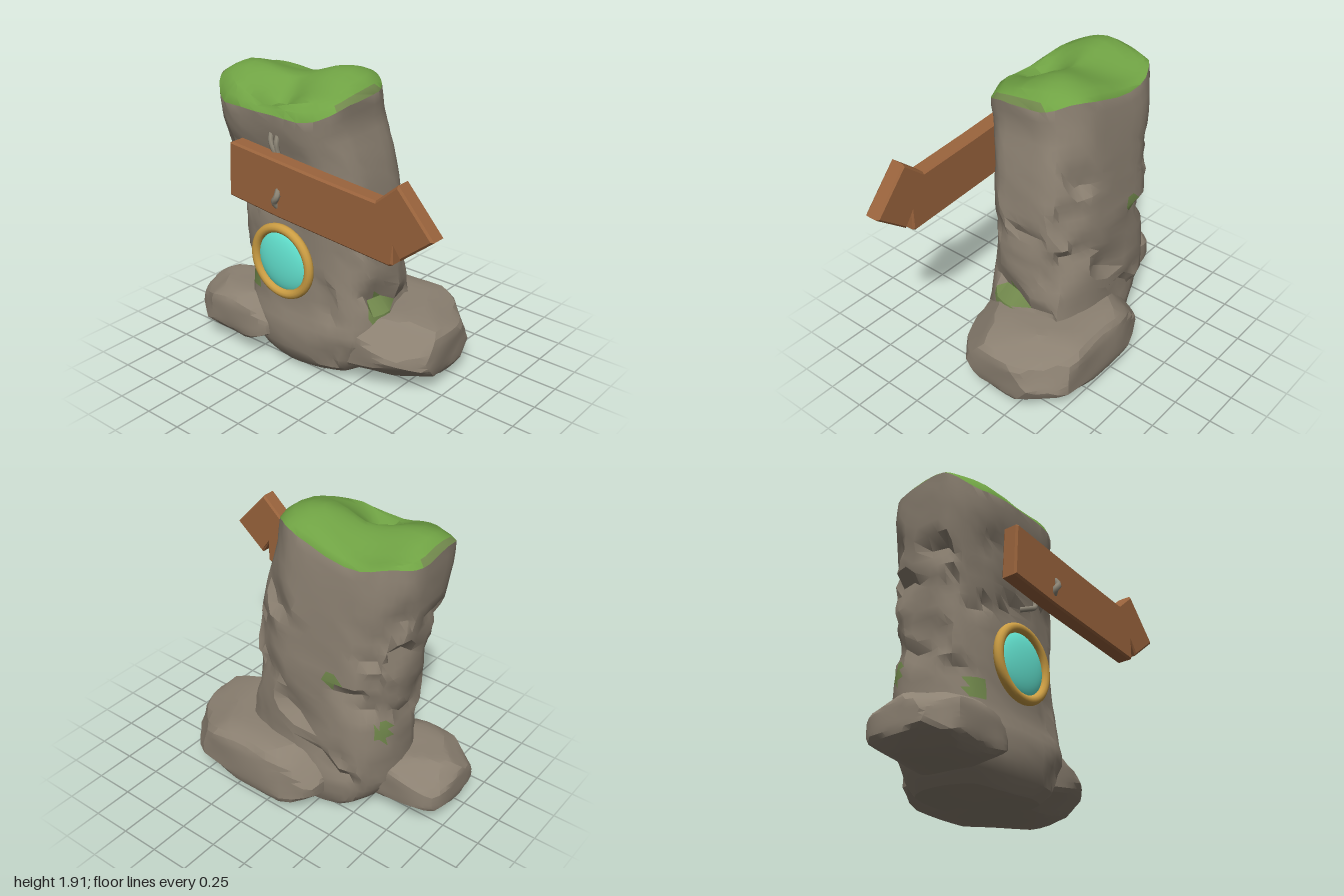
import * as THREE from 'three';
import { toCreasedNormals, mergeVertices } from 'three/addons/utils/BufferGeometryUtils.js';

const mat = (name, color) => {
  const m = new THREE.MeshStandardMaterial({ color });
  m.name = name;
  return m;
};

// small seeded random generator
function seeded(seed) {
  let s = seed;
  return () => {
    s = (s * 16807) % 2147483647;
    return s / 2147483647;
  };
}

function addMesh(parent, name, geometry, material) {
  const mesh = new THREE.Mesh(geometry, material);
  mesh.name = name;
  parent.add(mesh);
  return mesh;
}

// pillar outline: height, left, right, back, front
const LEVELS = [
  [0.03, -0.50, 0.22, -0.32, 0.27],
  [0.12, -0.61, 0.31, -0.36, 0.37],
  [0.30, -0.69, 0.37, -0.385, 0.385],
  [0.42, -0.70, 0.37, -0.375, 0.345],
  [0.60, -0.70, 0.345, -0.37, 0.335],
  [0.80, -0.70, 0.315, -0.365, 0.335],
  [1.00, -0.71, 0.31, -0.37, 0.345],
  [1.20, -0.74, 0.30, -0.345, 0.36],
  [1.40, -0.77, 0.26, -0.335, 0.39],
  [1.60, -0.795, 0.195, -0.315, 0.445],
  [1.74, -0.805, 0.205, -0.285, 0.45],
];

function levelAt(y) {
  let k = 0;
  while (k < LEVELS.length - 2 && LEVELS[k + 1][0] < y) k++;
  const a = LEVELS[k], b = LEVELS[k + 1], t = (y - a[0]) / (b[0] - a[0]);
  return a.map((v, i) => v + (b[i] - v) * t);
}

const SEG = 44, ROWS = 28;

function outline(y, a) {
  const [, x0, x1, z0, z1] = levelAt(y);
  const c = Math.cos(a), s = Math.sin(a), e = 0.66;
  return new THREE.Vector3(
    (x0 + x1) / 2 + (x1 - x0) / 2 * Math.sign(c) * Math.abs(c) ** e, y,
    (z0 + z1) / 2 + (z1 - z0) / 2 * Math.sign(s) * Math.abs(s) ** e);
}

const bump = (x, z, cx, cz, w) => Math.exp(-((x - cx) ** 2 + (z - cz) ** 2) / w);

// mossy top: two swellings, a notch near the front and a low back left
const topHeight = (x, z) => 1.84 - 0.22 * Math.max(0, z - 0.1)
  + 0.07 * bump(x, z, -0.05, -0.04, 0.04) + 0.05 * bump(x, z, -0.63, 0.15, 0.04)
  - 0.11 * bump(x, z, -0.28, 0.27, 0.018) - 0.07 * bump(x, z, -0.5, -0.27, 0.06);

// the rim tilts down to the front
const rimLift = (x, z) => 0.035 - 0.16 * z - 0.1 * Math.max(0, z - 0.2) + 0.05 * Math.abs(x + 0.3)
  - 0.075 * bump(x, z, -0.5, -0.27, 0.08) + 0.04 * bump(x, z, -0.77, 0.2, 0.03);

function pillarGeometry(mossSpots) {
  const rand = seeded(77);
  // chips: places where the surface is cut back to a tilted plane
  const chips = Array.from({ length: 56 }, () => {
    const y = 0.1 + rand() * 1.5, a = rand() * Math.PI * 2;
    const centre = outline(y, a);
    const normal = new THREE.Vector3(Math.cos(a), (rand() - 0.5) * 0.7, Math.sin(a)).normalize();
    return { centre, normal, r: 0.08 + rand() * 0.11, depth: 0.01 + rand() * 0.025 };
  });
  const rings = [];
  for (let j = 0; j <= ROWS; j++) {
    const y = 0.03 + 1.71 * j / ROWS, ring = [];
    for (let i = 0; i < SEG; i++) {
      const a = (i + 0.4 * rand()) / SEG * Math.PI * 2;
      const p = outline(y, a);
      const inward = 0.008 * (1 + Math.sin(3 * a + 4 * y) * Math.sin(5 * a - 6 * y)) + 0.006 * rand();
      p.x -= Math.cos(a) * inward;
      p.z -= Math.sin(a) * inward;
      if (j < ROWS - 1) {
        for (const c of chips) {
          if (p.distanceTo(c.centre) > c.r) continue;
          const d = p.clone().sub(c.centre).dot(c.normal) + c.depth;
          if (d > 0) p.addScaledVector(c.normal, -d);
        }
      }
      p.y += THREE.MathUtils.smoothstep(y, 1.35, 1.74) * (rimLift(p.x, p.z) + 0.015 * Math.sin(5 * a));
      // the foot dips in front
      if (j < 2) p.y -= 0.035 * bump(p.x, p.z, -0.25, 0.2, 0.06);
      ring.push(p);
    }
    rings.push(ring);
  }
  const rim = rings[ROWS];
  const inset = (ring, s, height) => ring.map((p) => {
    const x = -0.29 + (p.x + 0.29) * s, z = 0.085 + (p.z - 0.085) * s;
    return new THREE.Vector3(x, height(x, z, p), z);
  });
  rings.push(inset(rim, 0.94, (x, z, p) => 0.45 * p.y + 0.55 * topHeight(x, z) + 0.005));
  for (const s of [0.83, 0.66, 0.48, 0.3, 0.14, 0]) rings.push(inset(rim, s, topHeight));
  rings.unshift(inset(rings[0], 0, () => 0.02));

  // the first and last rings are single points, so they get one triangle per side
  const pos = [], idx = [], last = rings.length - 1;
  rings.forEach((ring, j) => ring.forEach((p, i) => {
    pos.push(p.x, p.y, p.z);
    if (j === last) return;
    const a = j * SEG + i, b = j * SEG + (i + 1) % SEG;
    if (j === last - 1) idx.push(a, a + SEG, b);
    else idx.push(a, a + SEG, b + SEG);
    if (j > 0 && j < last - 1) idx.push(a, b + SEG, b);
  }));
  const raw = new THREE.BufferGeometry();
  raw.setAttribute('position', new THREE.Float32BufferAttribute(pos, 3));
  raw.setIndex(idx);
  const geo = toCreasedNormals(raw, 0.55);

  // moss on the top (1), thin moss at its ends and on a few small spots (2)
  const P = geo.attributes.position, c = new THREE.Vector3(), v = new THREE.Vector3();
  const capStart = 3 * SEG * (1 + 2 * ROWS);
  for (let t = 0; t < P.count; t += 3) {
    c.set(0, 0, 0);
    for (let n = 0; n < 3; n++) c.add(v.fromBufferAttribute(P, t + n));
    c.divideScalar(3);
    let kind = 0;
    if (t >= capStart) kind = c.x > 0.155 || c.x < -0.765 ? 2 : 1;
    else if (mossSpots.some(([x, y, z, r]) => Math.hypot(c.x - x, c.y - y, c.z - z) < r)) kind = 2;
    const run = geo.groups[geo.groups.length - 1];
    if (run && run.materialIndex === kind) run.count += 3;
    else geo.addGroup(t, 3, kind);
  }
  return geo;
}

// boulder: a rounded block with its corners cut off by random planes
function boulderGeometry(half, power, seed) {
  const rand = seeded(seed);
  const bare = new THREE.IcosahedronGeometry(1, 7);
  bare.deleteAttribute('normal');
  bare.deleteAttribute('uv');
  const geo = mergeVertices(bare, 1e-3);
  const cuts = Array.from({ length: 34 }, () => ({
    n: new THREE.Vector3(rand() - 0.5, rand() - 0.5, rand() - 0.5).normalize(),
    k: 1.07 + rand() * 0.15,
  }));
  const P = geo.attributes.position, p = new THREE.Vector3();
  for (let i = 0; i < P.count; i++) {
    p.fromBufferAttribute(P, i);
    const len = (Math.abs(p.x) ** power + Math.abs(p.y) ** power + Math.abs(p.z) ** power) ** (1 / power);
    p.divideScalar(len);
    for (const { n, k } of cuts) {
      const d = p.dot(n) - k;
      if (d > 0) p.addScaledVector(n, -d);
    }
    p.multiplyScalar(1 - 0.015 * (1 + Math.sin(5 * p.x + seed) * Math.sin(4 * p.z + 3 * p.y)));
    P.setXYZ(i, p.x * half[0], p.y * half[1], p.z * half[2]);
  }
  return toCreasedNormals(geo, 0.35);
}

// flat board with a slight bevel, centred on z
function boardGeometry(points, depth) {
  const bevel = 0.012;
  const geo = new THREE.ExtrudeGeometry(new THREE.Shape(points.map(([x, y]) => new THREE.Vector2(x, y))), {
    depth: depth - 2 * bevel, bevelEnabled: true, bevelSize: bevel, bevelOffset: -bevel,
    bevelThickness: bevel, bevelSegments: 1,
  });
  return geo.translate(0, 0, -depth / 2 + bevel);
}

export function createModel() {
  const stone = mat('stone', 0x8b8071);
  const moss = mat('moss', 0x70a344);
  const thinMoss = mat('thin moss', 0x71884c);
  const wood = mat('wood', 0x99633c);
  const gold = mat('gold', 0xcb9d43);
  const glass = mat('turquoise glass', 0x69f0dc);
  const root = mat('grey root', 0x8b8475);

  const model = new THREE.Group();
  model.name = 'stonePillarWithSign';

  // rock pillar with mossy top
  addMesh(model, 'pillar', pillarGeometry([
    [-0.53, 0.52, 0.29, 0.07], [0.34, 0.47, 0.07, 0.11],
    [-0.375, 1.03, -0.35, 0.055], [-0.65, 0.68, -0.2, 0.065],
  ]), [stone, moss, thinMoss]);

  // boulders at the foot
  addMesh(model, 'rightBoulder', boulderGeometry([0.525, 0.212, 0.412], 5.5, 31), stone)
    .position.set(0.18, 0.235, -0.145);
  addMesh(model, 'leftBoulder', boulderGeometry([0.345, 0.168, 0.288], 4.5, 58), stone)
    .position.set(-0.665, 0.238, 0.138);

  // round window
  const win = new THREE.Group();
  win.name = 'roundWindow';
  win.position.set(-0.215, 0.745, 0.363);
  addMesh(win, 'windowFrame', new THREE.TorusGeometry(0.217, 0.03, 12, 48), gold);
  const dome = new THREE.SphereGeometry(0.21, 40, 12, 0, Math.PI * 2, 0, Math.PI / 2).rotateX(Math.PI / 2);
  const pane = addMesh(win, 'windowPane', dome, glass);
  pane.scale.z = 0.27;
  pane.position.z = -0.025;
  model.add(win);

  // arrow sign
  addMesh(model, 'arrowSign', boardGeometry(
    [[-0.48, 1.165], [-0.1, 1.125], [0.72, 1.067], [0.74, 1.08], [0.735, 1.21], [0.79, 1.12],
      [1.0, 1.287], [0.765, 1.545], [0.62, 1.42], [0.2, 1.452], [-0.44, 1.51], [-0.46, 1.5]], 0.104), wood)
    .position.z = 0.473;

  // root holding the sign
  const strands = [
    [0.02, [-0.09, 1.18, 0.50], [-0.105, 1.22, 0.53], [-0.08, 1.26, 0.535], [-0.09, 1.31, 0.50]],
    [0.016, [-0.23, 1.6, 0.40], [-0.21, 1.55, 0.435], [-0.18, 1.49, 0.44], [-0.17, 1.44, 0.42]],
    [0.016, [-0.18, 1.59, 0.40], [-0.17, 1.54, 0.43], [-0.165, 1.49, 0.43], [-0.15, 1.44, 0.42]],
    [0.016, [-0.23, 1.09, 0.36], [-0.19, 1.1, 0.40], [-0.15, 1.12, 0.41], [-0.13, 1.17, 0.40]],
  ];
  strands.forEach(([radius, ...pts]) => {
    const curve = new THREE.CatmullRomCurve3(pts.map((p) => new THREE.Vector3(...p)));
    addMesh(model, 'rootStrand', new THREE.TubeGeometry(curve, 12, radius, 7), root);
  });

  return model;
}
